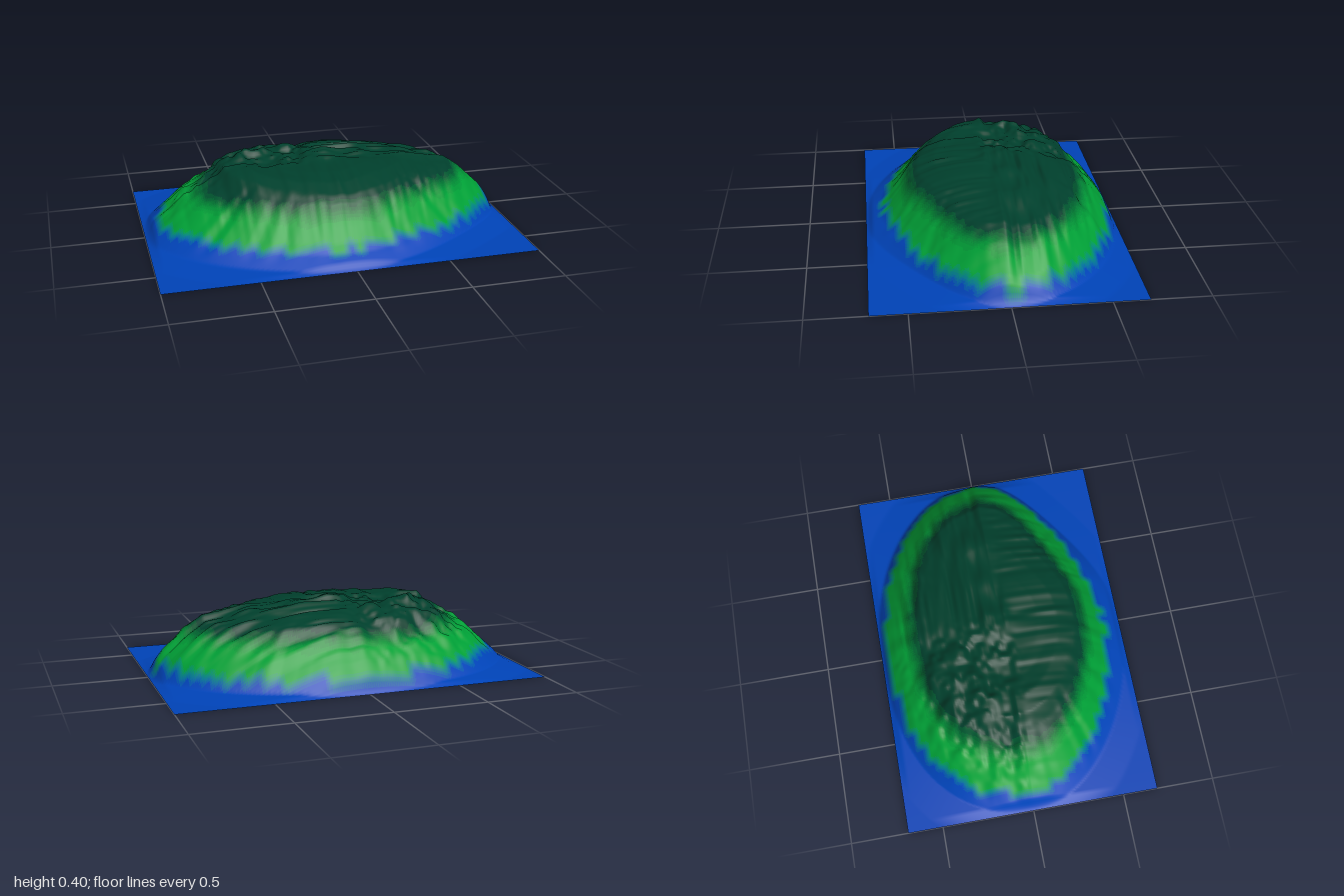
import * as THREE from 'three';

const HALF_X = 1, HALF_Z = 0.69;
const { smoothstep, lerp, clamp } = THREE.MathUtils;

// Slope profiles from the summit (r = 0) to the border (r = 1): [r, height]
const WEST = [[0, 0.38], [0.2, 0.37], [0.35, 0.36], [0.45, 0.375], [0.55, 0.355], [0.62, 0.295], [0.7, 0.255], [0.78, 0.205], [0.9, 0.105], [1, 0.02], [1.2, 0]];
const EAST = [[0, 0.38], [0.2, 0.37], [0.45, 0.35], [0.6, 0.32], [0.7, 0.305], [0.8, 0.235], [0.92, 0.125], [1, 0.02], [1.2, 0]];
const NORTH = [[0, 0.38], [0.29, 0.365], [0.5, 0.34], [0.65, 0.295], [0.8, 0.2], [0.87, 0.145], [0.94, 0.08], [1, 0.02], [1.2, 0]];
const SOUTH = [[0, 0.38], [0.29, 0.365], [0.44, 0.345], [0.58, 0.308], [0.64, 0.275], [0.73, 0.18], [0.81, 0.11], [0.88, 0.065], [1, 0.015], [1.2, 0]];

function profile(points, r) {
  for (let i = 1; i < points.length; i++) {
    const [r0, h0] = points[i - 1], [r1, h1] = points[i];
    if (r <= r1) return lerp(h0, h1, (r - r0) / (r1 - r0));
  }
  return 0;
}

// Smooth value noise in the range -1..1
function hash(i, j) {
  const s = Math.sin(i * 127.1 + j * 311.7) * 43758.5453;
  return (s - Math.floor(s)) * 2 - 1;
}
function noise(x, z) {
  const i = Math.floor(x), j = Math.floor(z);
  const u = smoothstep(x - i, 0, 1), v = smoothstep(z - j, 0, 1);
  return lerp(lerp(hash(i, j), hash(i + 1, j), u), lerp(hash(i, j + 1), hash(i + 1, j + 1), u), v);
}

const bump = (x, z, cx, cz, size) => Math.exp(-((x - cx) ** 2 + (z - cz) ** 2) / (size * size));

// Broad shape of the island; each diagonal is pulled in or pushed out a little
function baseHeight(x, z) {
  const u = x / HALF_X, w = z / HALF_Z, flat = Math.hypot(u, w) || 1e-6;
  const alongX = (u * u) / (flat * flat), diagonal = 4 * alongX * (1 - alongX);
  const east = smoothstep(u, -0.1, 0.1), south = smoothstep(w, -0.1, 0.1);
  const pull = lerp(lerp(-0.04, 0.005, east), lerp(0.025, 0.11, east), south);
  const r = flat * (1 + pull * diagonal);
  const blendX = lerp(profile(WEST, r), profile(EAST, r), east);
  const blendZ = lerp(profile(NORTH, r), profile(SOUTH, r), south);
  const border = Math.min(1, 20 * (1 - Math.max(Math.abs(u), Math.abs(w))));
  return lerp(blendZ, blendX, alongX) * border;
}

// Crags in the back left, long ridges to the right, soft gullies on the front
function height(x, z) {
  const h = baseHeight(x, z);
  const front = smoothstep(z, -0.03, 0.08), right = smoothstep(x, -0.15, 0.05);
  const crags = 0.022 * noise(x * 13, z * 15) + 0.014 * noise(x * 27 + 5, z * 30);
  const ridges = 0.016 * noise(x * 3.5, z * 24) + 0.01 * noise(x * 6, z * 45);
  const gullies = 0.008 * noise(x * 19, z * 3) + 0.005 * noise(x * 38, z * 4);
  const relief = lerp(lerp(crags, ridges, right), gullies, front);
  const peaks = 0.022 * bump(x, z, -0.45, -0.15, 0.1) + 0.028 * bump(x, z, 0, -0.03, 0.07)
    + 0.016 * bump(x, z, 0.22, -0.08, 0.07) + 0.018 * bump(x, z, 0.47, -0.08, 0.09)
    + 0.025 * bump(x, z, -0.3, -0.4, 0.06) - 0.025 * bump(x, z, -0.08, -0.33, 0.05)
    - 0.015 * bump(x, z, -0.33, -0.1, 0.07);
  // Furrows that run down the flanks
  const angle = Math.atan2(z / HALF_Z, x / HALF_X);
  const furrows = 0.008 * noise(angle * 12 + 50, 3) * smoothstep(h, 0.02, 0.12) * (1 - smoothstep(h, 0.25, 0.35));
  return Math.max(0, h + (relief + peaks) * smoothstep(h, 0.02, 0.3) + furrows);
}

// Ground cover on a coarse grid, 0 sea, 1 grass, 2 forest, blended between cells
const CELL = 0.045;
function cellCover(i, j) {
  const h = baseHeight(i * CELL, j * CELL) + 0.01 * hash(i, j);
  return h < 0.085 ? 0 : 1 + smoothstep(h, 0.2, 0.28);
}
function cover(x, z) {
  const i = Math.floor(x / CELL), j = Math.floor(z / CELL), u = x / CELL - i, v = z / CELL - j;
  return lerp(lerp(cellCover(i, j), cellCover(i + 1, j), u), lerp(cellCover(i, j + 1), cellCover(i + 1, j + 1), u), v);
}

export function createModel() {
  const group = new THREE.Group();
  group.name = 'island';

  // Terrain sheet
  const sheet = new THREE.PlaneGeometry(HALF_X * 2, HALF_Z * 2, 200, 138).rotateX(-Math.PI / 2);
  const pos = sheet.attributes.position;
  for (let i = 0; i < pos.count; i++) pos.setY(i, height(pos.getX(i), pos.getZ(i)));
  sheet.computeVertexNormals();

  // Sort the faces into bands of ground cover that share the smooth normals
  const STEPS = 8, bands = Array.from({ length: STEPS * 2 + 1 }, () => []);
  const index = sheet.index.array;
  for (let f = 0; f < index.length; f += 3) {
    const face = [index[f], index[f + 1], index[f + 2]];
    const x = face.reduce((s, k) => s + pos.getX(k), 0) / 3;
    const z = face.reduce((s, k) => s + pos.getZ(k), 0) / 3;
    bands[clamp(Math.round(cover(x, z) * STEPS), 0, STEPS * 2)].push(...face);
  }

  const sea = new THREE.Color(0x0043b8), grass = new THREE.Color(0x00a036), forest = new THREE.Color(0x003f2c);
  bands.forEach((faces, b) => {
    if (!faces.length) return;
    const t = b / STEPS;
    const color = t <= 1 ? sea.clone().lerp(grass, t) : grass.clone().lerp(forest, t - 1);
    const geometry = new THREE.BufferGeometry();
    geometry.setAttribute('position', pos);
    geometry.setAttribute('normal', sheet.attributes.normal);
    geometry.setIndex(faces);
    const mesh = new THREE.Mesh(geometry, new THREE.MeshStandardMaterial({ color, side: THREE.DoubleSide }));
    mesh.name = t === 0 ? 'sea' : t < 1 ? `shore${b}` : t === 1 ? 'grassSlope' : t < 2 ? `woodEdge${b}` : 'forestTop';
    group.add(mesh);
  });
  return group;
}
